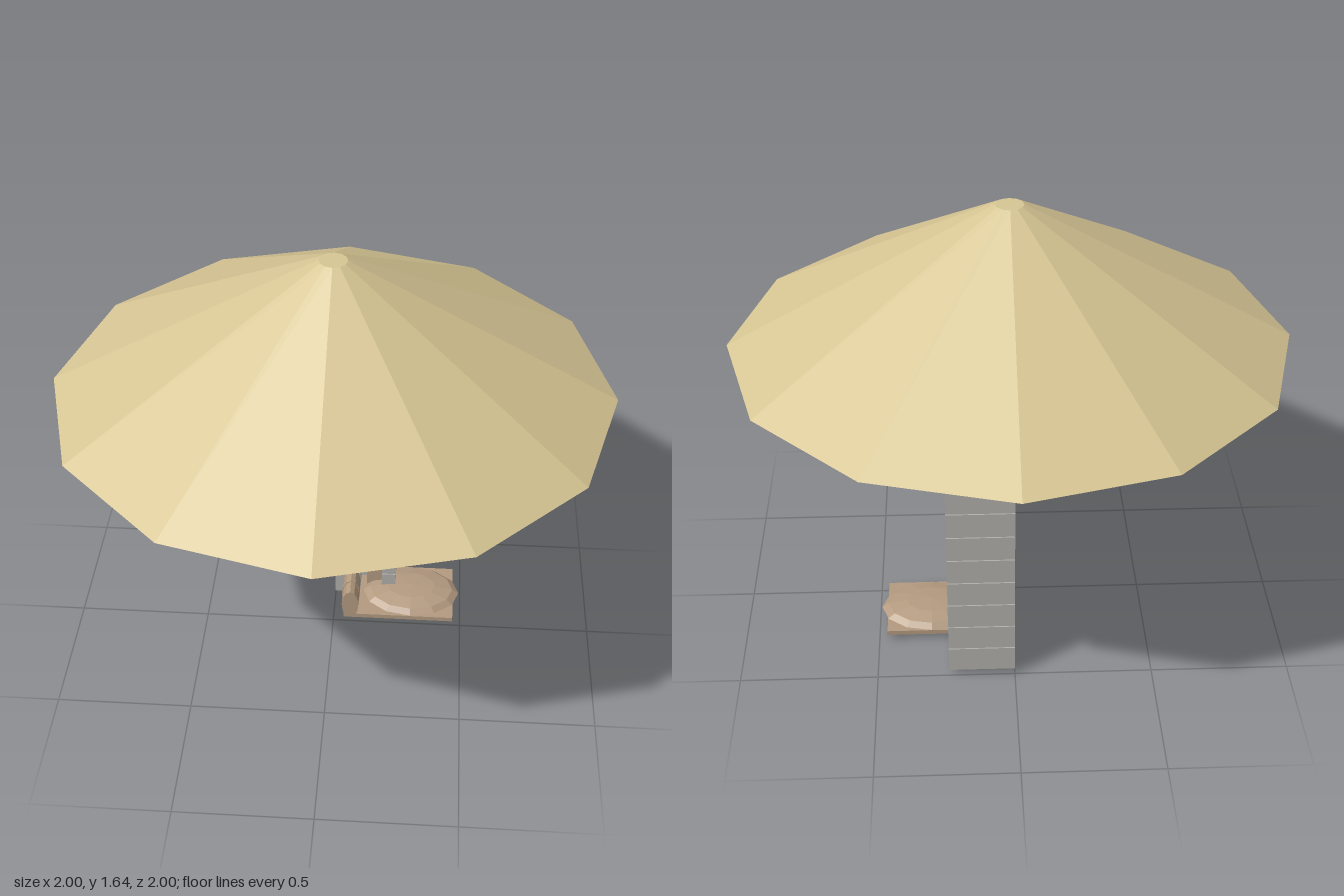
import * as THREE from 'three';

const roofTan = new THREE.MeshStandardMaterial({ color: 0xd6c593, flatShading: true });
roofTan.name = 'straw';
const stone = new THREE.MeshStandardMaterial({ color: 0xb1afaa, flatShading: true });
stone.name = 'stone grey';
const brown = new THREE.MeshStandardMaterial({ color: 0xb39a80, flatShading: true });
brown.name = 'light brown';

export function createModel() {
  const model = new THREE.Group();
  model.name = 'canopyHut';

  const add = (parent, name, geometry, material) => {
    const mesh = new THREE.Mesh(geometry, material);
    mesh.name = name;
    parent.add(mesh);
    return mesh;
  };
  // box given by its limits on each axis
  const box = (parent, name, material, x0, x1, y0, y1, z0, z1) => {
    const mesh = add(parent, name, new THREE.BoxGeometry(x1 - x0, y1 - y0, z1 - z0), material);
    mesh.position.set((x0 + x1) / 2, (y0 + y1) / 2, (z0 + z1) / 2);
    return mesh;
  };

  // twelve-sided roof with a small flat top
  const bottom = 0.03, eaves = 1.125, peak = 1.65;
  const roof = add(model, 'roof', new THREE.CylinderGeometry(0.05, 1, peak - eaves, 12), roofTan);
  roof.position.y = (eaves + peak) / 2;

  // stone pillar: courses of blocks around a front slot, with thin joints
  const pillar = new THREE.Group();
  pillar.name = 'pillar';
  model.add(pillar);
  const plan = [
    [0, 0.1, -0.23, -0.145],
    [0.185, 0.24, -0.23, -0.145],
    [0, 0.24, -0.32, -0.23],
    [0, 0.24, -0.5, -0.32],
  ];
  const rows = 11, step = (eaves - bottom) / rows, gap = 0.002, inset = 0.005;
  for (const [x0, x1, z0, z1] of plan) {
    for (let i = 0; i < rows; i++) {
      const y = bottom + i * step;
      box(pillar, 'stoneBlock', stone, x0, x1, y + (i ? gap : 0), y + step - gap, z0, z1);
    }
    // mortar core behind the joints
    box(pillar, 'mortarCore', stone, x0 + inset, x1 - inset, bottom + inset, eaves, z0 + inset, z1 - inset);
  }

  // wooden post standing in the slot
  box(model, 'post', brown, 0.125, 0.185, bottom, eaves, -0.235, -0.178);

  // knob under the pillar
  const knob = add(model, 'knob', new THREE.SphereGeometry(0.03, 8, 6), brown);
  knob.position.set(0.13, 0.03, -0.32);
  knob.scale.y = 0.75;

  // bed: thin mat, padded blanket and bolster
  const bed = new THREE.Group();
  bed.name = 'bed';
  model.add(bed);
  box(bed, 'mat', brown, 0.04, 0.47, 0.025, 0.043, -0.29, 0);
  const blanket = add(bed, 'blanket', new THREE.SphereGeometry(1, 12, 6), brown);
  blanket.scale.set(0.19, 0.038, 0.143);
  blanket.position.set(0.303, 0.043, -0.146);

  const bolster = add(bed, 'bolster', new THREE.CylinderGeometry(1, 1, 0.15, 12).rotateX(Math.PI / 2), brown);
  bolster.scale.set(0.033, 0.066, 1);
  bolster.position.set(0.066, 0.09, -0.075);
  const band = add(bed, 'bolsterBand', new THREE.CylinderGeometry(1, 1, 0.02, 12).rotateX(Math.PI / 2), brown);
  band.scale.set(0.036, 0.07, 1);
  band.position.set(0.066, 0.09, -0.07);

  return model;
}
